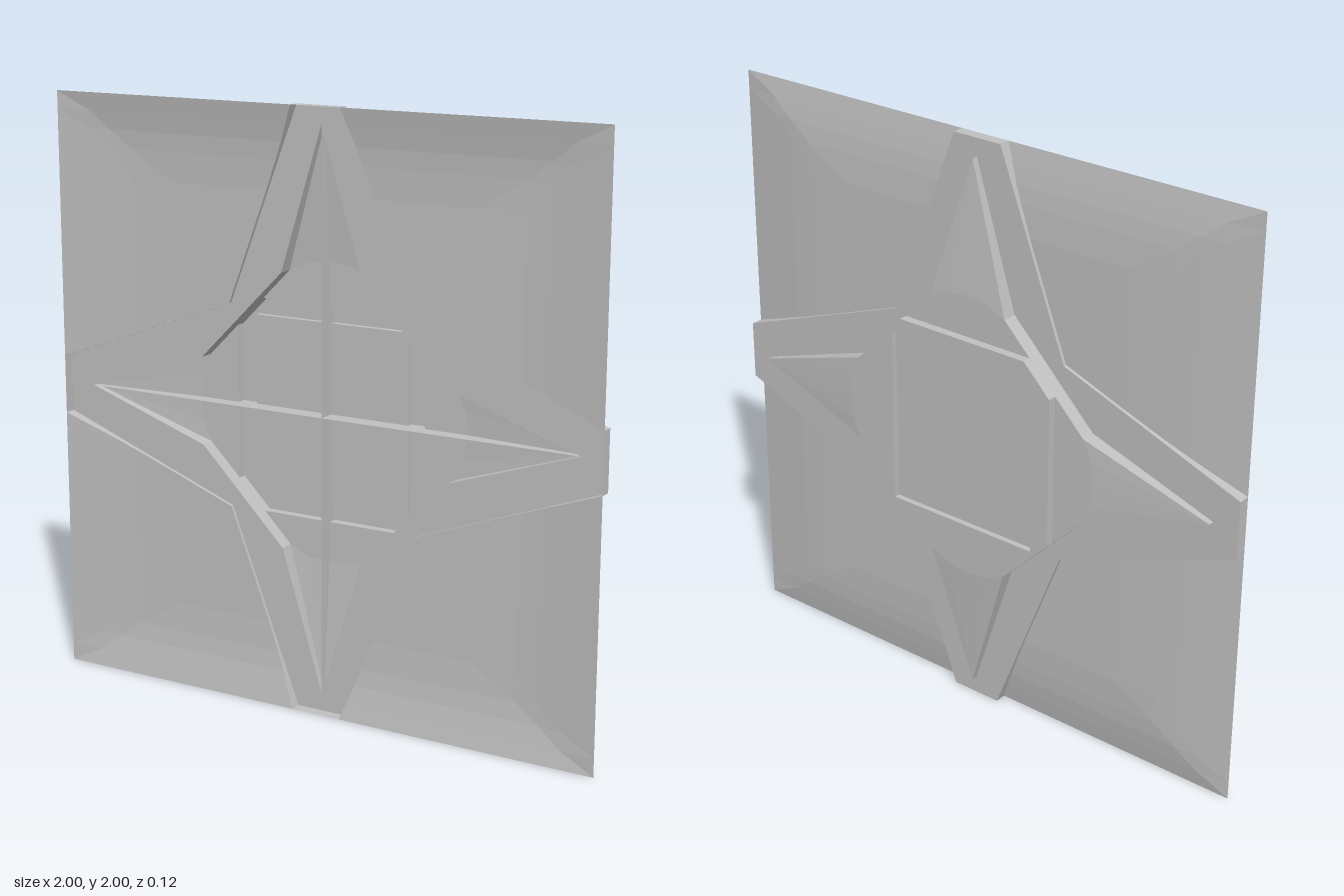
import * as THREE from 'three';

// Depths of the stepped shell, from front to back
const FLOOR = 0.02, PANEL = -0.03, RING = -0.06, PANE = -0.04;
const NOTCH = 0.343, MID = 0.305, BASE_R = 0.46, BASE_S = 0.15;

// The two horizontal and two vertical arms of the star
const ARMS = [
  { vertical: false, end: 0.1, tip: 0.91, ring: 0.35, pane: 0.285, paneHalf: 0.3 },
  { vertical: true, end: 0.09, tip: 0.94, ring: 0.36, pane: 0.3, paneHalf: 0.285 },
];

// Dished outer sheet: depth rises in bands towards the rim
const BANDS_X = [[0, 0.032], [0.56, 0.032], [0.72, 0.035], [0.8, 0.04], [0.88, 0.047], [1, 0.06]];
const BANDS_Y = [[0, 0.032], [0.72, 0.032], [0.82, 0.036], [0.88, 0.041], [0.94, 0.05], [1, 0.06]];

function lerpBands(bands, t) {
  for (let i = 1; i < bands.length; i++) {
    const [a, za] = bands[i - 1], [b, zb] = bands[i];
    if (t <= b) return za + (zb - za) * (t - a) / (b - a);
  }
  return 0.06;
}
const sheetZ = (x, y) => Math.max(lerpBands(BANDS_X, Math.abs(x)), lerpBands(BANDS_Y, Math.abs(y)));

// Keep the part of a polygon on the left of the line a -> b
function clip(poly, a, b) {
  const side = p => (b[0] - a[0]) * (p[1] - a[1]) - (b[1] - a[1]) * (p[0] - a[0]);
  const out = [];
  poly.forEach((p, i) => {
    const q = poly[(i + 1) % poly.length], sp = side(p), sq = side(q);
    if (sp >= 0) out.push(p);
    if (sp * sq < 0) {
      const t = sp / (sp - sq);
      out.push([p[0] + (q[0] - p[0]) * t, p[1] + (q[1] - p[1]) * t]);
    }
  });
  return out;
}

export function createModel() {
  const group = new THREE.Group();
  const grey = new THREE.MeshStandardMaterial({ color: 0xc0c0c0, side: THREE.DoubleSide });
  const parts = {};

  // Add a flat convex face to a named part
  function face(name, pts) {
    const list = (parts[name] ??= []);
    for (let i = 1; i < pts.length - 1; i++) list.push(...pts[0], ...pts[i], ...pts[i + 1]);
  }

  // Dished sheet in four quarters, cut along the star's outline
  const [horizontal, upright] = ARMS;
  for (const sx of [1, -1]) for (const sy of [1, -1]) {
    for (let i = 1; i < BANDS_X.length; i++) for (let j = 1; j < BANDS_Y.length; j++) {
      const x0 = BANDS_X[i - 1][0], x1 = BANDS_X[i][0], y0 = BANDS_Y[j - 1][0], y1 = BANDS_Y[j][0];
      let poly = [[x0, y0], [x1, y0], [x1, y1], [x0, y1]];
      poly = clip(poly, [NOTCH, NOTCH], [1, horizontal.end]);
      poly = clip(poly, [upright.end, 1], [NOTCH, NOTCH]);
      if (poly.length > 2) face('dishedSheet', poly.map(([x, y]) => [x * sx, y * sy, sheetZ(x, y)]));
    }
  }

  for (const arm of ARMS) for (const dir of [1, -1]) {
    const { vertical, end, tip, ring, pane, paneHalf } = arm;
    const ringHalf = 2 * MID - ring;
    // r runs outward along the arm, s across it
    const at = (r, s, z) => (vertical ? [s, r * dir, z] : [r * dir, s, z]);
    const wall = (name, [r0, s0, a0, b0], [r1, s1, a1, b1]) =>
      face(name, [at(r0, s0, a0), at(r1, s1, a1), at(r1, s1, b1), at(r0, s0, b0)]);

    for (const k of [1, -1]) {
      // Star frame floor
      const flat = pts => face('starFrame', pts.map(([r, s]) => at(r, s * k, FLOOR)));
      flat([[tip, 0], [1, 0], [1, end]]);
      flat([[tip, 0], [1, end], [NOTCH, NOTCH], [BASE_R, BASE_S]]);
      flat([[BASE_R, BASE_S], [NOTCH, NOTCH], [MID, MID]]);

      // Outer wall from the sheet down to the floor
      const N = 14;
      const edge = i => {
        const r = NOTCH + (1 - NOTCH) * i / N, s = NOTCH + (end - NOTCH) * i / N;
        return [r, s * k, vertical ? sheetZ(s, r) : sheetZ(r, s), FLOOR];
      };
      for (let i = 0; i < N; i++) wall('starOuterWall', edge(i), edge(i + 1));

      // Inner wall from the floor to the star panel
      const inner = 'starInnerWall';
      wall(inner, [tip, 0, FLOOR, 0], [BASE_R, BASE_S * k, FLOOR, PANEL]);
      wall(inner, [BASE_R, BASE_S * k, FLOOR, PANEL], [ring, ringHalf * k, FLOOR, PANEL]);
      wall(inner, [ring, ringHalf * k, FLOOR, RING], [MID, MID * k, FLOOR, RING]);

      // Square channel floor
      face('squareChannel', [[pane, 0], [ring, 0], [ring, ringHalf], [MID, MID], [pane, paneHalf]]
        .map(([r, s]) => at(r, s * k, RING)));
    }

    // Arm end cap and channel walls
    wall('armEnd', [1, -end, 0.06, FLOOR], [1, end, 0.06, FLOOR]);
    wall('squareChannel', [ring, -ringHalf, PANEL, RING], [ring, ringHalf, PANEL, RING]);
    wall('squareChannel', [pane, -paneHalf, PANE, RING], [pane, paneHalf, PANE, RING]);

    // Star panel: flat inside a circle, then sloping forward to the tip
    const arc = [[BASE_R, -BASE_S], [0.492, -0.08], [0.5, 0], [0.492, 0.08], [BASE_R, BASE_S]];
    face('starPanel', [[ring, -ringHalf], ...arc, [ring, ringHalf]].map(([r, s]) => at(r, s, PANEL)));
    for (let i = 0; i < 4; i++)
      face('starPoint', [at(tip, 0, 0), at(...arc[i], PANEL), at(...arc[i + 1], PANEL)]);

    // Thin cross rib following the shell's steps
    const rib = vertical ? 'uprightRib' : 'crossRib';
    wall(rib, [0, 0, FLOOR, PANE], [pane, 0, FLOOR, PANE]);
    wall(rib, [pane, 0, FLOOR, RING], [ring, 0, FLOOR, RING]);
    wall(rib, [ring, 0, FLOOR, PANEL], [0.5, 0, FLOOR, PANEL]);
    wall(rib, [0.5, 0, FLOOR, PANEL], [tip, 0, FLOOR, 0]);
  }

  // Central pane
  face('centrePane', [[-1, -1], [1, -1], [1, 1], [-1, 1]].map(([x, y]) => [x * 0.285, y * 0.3, PANE]));

  for (const [name, positions] of Object.entries(parts)) {
    const geometry = new THREE.BufferGeometry();
    geometry.setAttribute('position', new THREE.Float32BufferAttribute(positions, 3));
    geometry.computeVertexNormals();
    const mesh = new THREE.Mesh(geometry, grey);
    mesh.name = name;
    mesh.position.y = 1;
    group.add(mesh);
  }
  return group;
}
